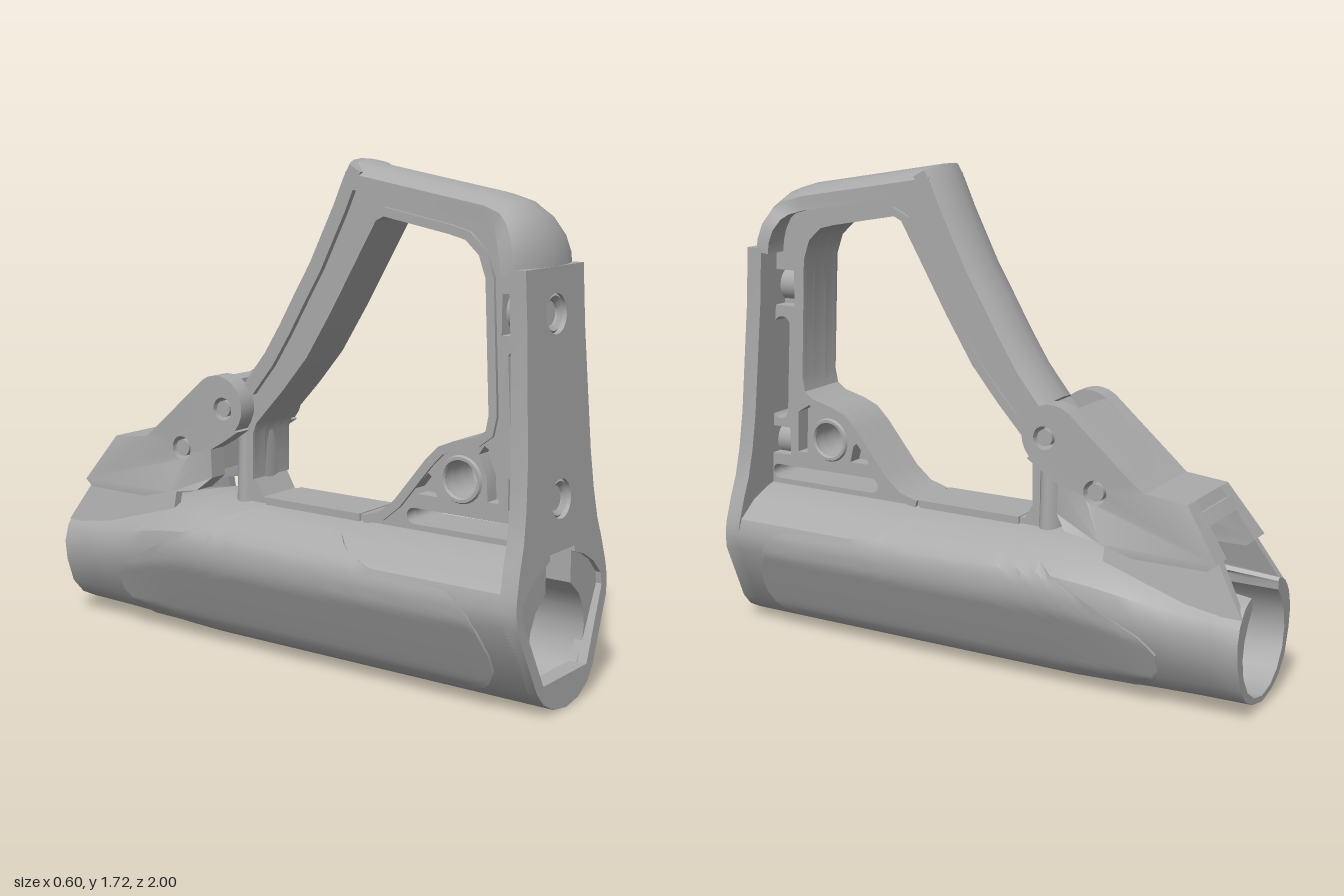
import * as THREE from 'three';
import { mergeGeometries, toCreasedNormals } from 'three/addons/utils/BufferGeometryUtils.js';

const grey = new THREE.MeshStandardMaterial({ color: 0xaaaaaa, side: THREE.DoubleSide });
grey.name = 'grey polymer';

const vec = (list) => list.map(([a, b]) => new THREE.Vector2(a, b));
const lerp = THREE.MathUtils.lerp;

// Piecewise linear lookup in a table of [key, value] with rising keys
function lookup(table, k) {
  for (let i = 1; i < table.length; i++) {
    const [a, u] = table[i - 1], [b, v] = table[i];
    if (k <= b) return lerp(u, v, THREE.MathUtils.clamp((k - a) / (b - a), 0, 1));
  }
  return table[table.length - 1][1];
}

// Joins 2D profiles placed in space by place(i, point); faces are turned outward
function loft(profiles, place, { closed = true, caps = true } = {}) {
  const n = profiles[0].length, pos = [], index = [];
  profiles.forEach((pr, i) => pr.forEach((p) => pos.push(...place(i, p))));
  for (let i = 0; i < profiles.length - 1; i++) {
    for (let j = 0; j < (closed ? n : n - 1); j++) {
      const a = i * n + j, b = i * n + (j + 1) % n;
      index.push(a, b, b + n, a, b + n, a + n);
    }
  }
  if (caps) {
    const last = profiles.length - 1;
    const ccw = THREE.ShapeUtils.isClockWise(vec(profiles[0])) ? -1 : 1;
    for (const e of [0, last]) {
      for (const f of THREE.ShapeUtils.triangulateShape(vec(profiles[e]), [])) {
        const t = f.map((k) => k + e * n);
        const p = f.map((k) => profiles[e][k]);
        const area = (p[1][0] - p[0][0]) * (p[2][1] - p[0][1]) - (p[1][1] - p[0][1]) * (p[2][0] - p[0][0]);
        if ((area * ccw > 0) === (e === 0)) t.reverse();
        index.push(...t);
      }
    }
  }
  const at = (k) => new THREE.Vector3().fromArray(pos, k * 3);
  let volume = 0;
  for (let i = 0; i < index.length; i += 3) volume += at(index[i]).dot(at(index[i + 1]).cross(at(index[i + 2])));
  if (volume < 0) index.reverse();
  const g = new THREE.BufferGeometry();
  g.setAttribute('position', new THREE.Float32BufferAttribute(pos, 3));
  g.setIndex(index);
  return g.toNonIndexed();
}

// Plate drawn in side coordinates (z, y), spanning x0 to x1
function sidePlate(outline, holes, x0, x1) {
  const s = new THREE.Shape(vec(outline));
  s.holes = holes.map((h) => new THREE.Path(vec(h)));
  return new THREE.ExtrudeGeometry(s, { depth: x1 - x0, bevelEnabled: false }).rotateY(-Math.PI / 2).translate(x1, 0, 0);
}

// Crowned strip along a side path of [z, y, halfWidth]
function strip(path, thick, crown, side) {
  const rings = path.map(([, , w]) => [
    ...[-1, -0.8, -0.5, 0, 0.5, 0.8, 1].map((k) => [k * w, crown * k * k]),
    [w, crown + thick], [-w, crown + thick]]);
  const normals = path.map((_, i) => {
    const a = path[Math.max(i - 1, 0)], b = path[Math.min(i + 1, path.length - 1)];
    const dz = b[0] - a[0], dy = b[1] - a[1], l = Math.hypot(dz, dy);
    return [-dy / l * side, dz / l * side];
  });
  return loft(rings, (i, [x, d]) => [x, path[i][1] + normals[i][1] * d, path[i][0] + normals[i][0] * d]);
}

const circle = (z, y, r, n = 28) => Array.from({ length: n }, (_, i) => {
  const a = i / n * Math.PI * 2;
  return [z + r * Math.cos(a), y + r * Math.sin(a)];
});
const rect = (z0, z1, y0, y1) => [[z0, y0], [z1, y0], [z1, y1], [z0, y1]];
// Slot with round ends between two side points
function capsule(z0, y0, z1, y1, r) {
  const base = Math.atan2(y1 - y0, z1 - z0), out = [];
  for (let i = 0; i <= 16; i++) {
    const far = i > 8, a = base + Math.PI / 2 + (far ? i - 1 : i) * Math.PI / 8 + (far ? Math.PI / 8 : 0) * (i > 8 ? 0 : 1);
    out.push([(far ? z1 : z0) + r * Math.cos(a), (far ? y1 : y0) + r * Math.sin(a)]);
  }
  return out;
}

// Half sections of the barrel: outside from bottom to top, then the bore back down
const bore = [[0.14, 0.335], [0.17, 0.28], [0.18, 0.22], [0.168, 0.155], [0.127, 0.093], [0.07, 0.054], [0, 0.04]];
const outer = [[0, 0], [0.08, 0.013], [0.14, 0.045], [0.18, 0.09], [0.285, 0.31], [0.29, 0.37], [0.275, 0.42], [0.2, 0.48], [0.11, 0.515], [0, 0.535]];
const outerRear = [[0, 0.02], [0.08, 0.035], [0.14, 0.065], [0.19, 0.12], [0.22, 0.21], [0.228, 0.28], [0.21, 0.34], [0.175, 0.385], [0.15, 0.4], [0.12, 0.41]];
const mainSection = [...outer, [0, 0.505], [0.08, 0.505], [0.08, 0.385], ...bore];
const rearSection = [...outerRear, [0.11, 0.4], [0.11, 0.385], [0.112, 0.37], ...bore];
const blend = [[-1, 1], [-0.8, 0.85], [-0.65, 0.6], [-0.5, 0.22], [-0.36, 0]];
const mix = (a, b, t) => a.map((p, i) => [lerp(p[0], b[i][0], t), lerp(p[1], b[i][1], t)]);

export function createModel() {
  const group = new THREE.Group();
  const add = (name, geometry, crease = 0.5) => {
    const m = new THREE.Mesh(toCreasedNormals(geometry, crease), grey);
    m.name = name;
    group.add(m);
    return m;
  };

  // Hollow barrel, opening along its top at the rear
  const zs = [-1, -0.9, -0.8, -0.72, -0.65, -0.57, -0.5, -0.43, -0.36, 0.3, 0.96];
  const sections = zs.map((z) => mix(mainSection, rearSection, lookup(blend, z)));
  add('barrel', mergeGeometries([1, -1].map((s) => loft(sections, (i, [x, y]) => [s * x, y, zs[i]]))));

  // Raised side grip panels following the barrel surface
  const panelTop = [[-0.72, 0.2], [-0.68, 0.25], [-0.55, 0.32], [-0.3, 0.45], [-0.15, 0.505], [0.25, 0.49], [0.3, 0.455], [0.42, 0.42], [0.74, 0.395], [0.82, 0.32], [0.855, 0.2]];
  const panelLow = [[-0.72, 0.14], [-0.69, 0.09], [-0.62, 0.06], [0.75, 0.06], [0.82, 0.085], [0.855, 0.14]];
  const cols = Array.from({ length: 64 }, (_, i) => -0.72 + 1.575 * THREE.MathUtils.clamp((i - 1) / 61, 0, 1));
  const rows = Array.from({ length: 19 }, (_, j) => THREE.MathUtils.clamp((j - 1) / 16, 0, 1));
  const panelRings = cols.map((z, i) => {
    const half = mix(outer, outerRear, lookup(blend, z)).map(([x, y]) => [y, x]);
    return rows.map((v, j) => {
      const y = lerp(lookup(panelLow, z), lookup(panelTop, z), v), x = lookup(half, y);
      const rim = i === 0 || i === cols.length - 1 || j === 0 || j === rows.length - 1;
      const d = (rim ? -0.01 : 0.01) / Math.hypot(x, y - 0.25);
      return [x + x * d, y + (y - 0.25) * d];
    });
  });
  for (const s of [1, -1]) {
    add(s > 0 ? 'leftGripPanel' : 'rightGripPanel',
      loft(panelRings, (i, [x, y]) => [s * x, y, cols[i]], { closed: false, caps: false }), 0.6);
  }

  // Leaning front plate with barrel mouth and two screw holes
  const half = [...outer.slice(0, 6), [0.285, 0.41], [0.26, 0.5], [0.235, 0.57], [0.215, 0.67], [0.2, 0.8], [0.19, 1], [0.18, 1.2], [0.18, 1.4]];
  const mirror = (h) => [...h, ...h.slice().reverse().map(([x, y]) => [-x, y])];
  const face = new THREE.Shape(vec(mirror(half)));
  const mouth = [[0.14, 0.105], [0.255, 0.345], [0.25, 0.385], [0.2, 0.435], [0.14, 0.47], [0.08, 0.49], [0.08, 0.51]];
  const screwHeights = [0.675, 1.255];
  face.holes = [mirror(mouth), ...screwHeights.map((y) => circle(0, y, 0.064))].map((h) => new THREE.Path(vec(h)));
  const plate = new THREE.ExtrudeGeometry(face, { depth: 0.06, bevelEnabled: false }).translate(0, 0, -0.06);
  const pp = plate.attributes.position;
  for (let i = 0; i < pp.count; i++) pp.setZ(i, pp.getZ(i) + 1 - 0.055 * pp.getY(i));
  add('frontPlate', plate);

  // Screw bosses behind the front plate
  for (const y of screwHeights) {
    const ring = new THREE.LatheGeometry(vec([[0.04, 0], [0.064, 0], [0.064, 0.135], [0.055, 0.142], [0.04, 0.13], [0.04, 0]]), 28);
    add('screwBoss', ring.rotateX(Math.PI / 2).translate(0, y, 0.85 - 0.055 * y));
    add('screw', new THREE.CylinderGeometry(0.04, 0.04, 0.08, 24).rotateX(Math.PI / 2).translate(0, y, 0.9 - 0.055 * y));
  }

  // Handle web with the large opening, slots and shallow recesses
  const opening = [[0.27, 0.54], [0.34, 0.56], [0.4, 0.61], [0.52, 0.76], [0.57, 0.81], [0.63, 0.835], [0.71, 0.855], [0.745, 0.88], [0.755, 0.93], [0.735, 1.36], [0.71, 1.43], [0.66, 1.475], [0.6, 1.49], [0.35, 1.535], [0.32, 1.52], [0.14, 1.21], [0.04, 1.05], [-0.06, 0.93], [-0.18, 0.8], [-0.195, 0.76], [-0.195, 0.6], [-0.16, 0.54]];
  const webOutline = [[-0.27, 0.5], [0.95, 0.5], [0.895, 1.38], [0.87, 1.47], [0.82, 1.55], [0.74, 1.59], [0.21, 1.675], [0.19, 1.66], [0.13, 1.5], [0.03, 1.3], [-0.07, 1.13], [-0.22, 0.95], [-0.27, 0.9]];
  const through = [opening, capsule(0.868, 0.8, 0.848, 1.11, 0.035), capsule(0.47, 0.565, 0.88, 0.565, 0.027), circle(0.65, 0.71, 0.065)];
  const recesses = [rect(0.79, 0.885, 1.185, 1.315), rect(0.825, 0.92, 0.632, 0.735),
    [[0.79, 0.65], [0.75, 0.65], [0.745, 0.73], [0.715, 0.8], [0.735, 0.83], [0.785, 0.8]],
    [[0.56, 0.64], [0.485, 0.64], [0.475, 0.66], [0.525, 0.715], [0.545, 0.7]]];
  add('handleWeb', sidePlate(webOutline, through, -0.035, 0.035));
  for (const s of [1, -1]) {
    add('handleSkin', sidePlate(webOutline, [...through, ...recesses], ...(s > 0 ? [0.035, 0.09] : [-0.09, -0.035])));
  }
  add('pivotRings', mergeGeometries([1, -1].map((s) =>
    new THREE.TorusGeometry(0.07, 0.01, 6, 28).rotateY(Math.PI / 2).translate(0.09 * s, 0.71, 0.65))));

  // Rounded outer strip over the handle and rim around its opening
  add('handleTop', strip([[0.923, 1.39, 0.18], [0.918, 1.44, 0.178], [0.9, 1.5, 0.17], [0.865, 1.56, 0.15], [0.815, 1.6, 0.13], [0.74, 1.623, 0.113], [0.5, 1.663, 0.11], [0.21, 1.712, 0.11]], 0.05, 0.04, 1));
  add('handleRear', strip([[0.19, 1.715, 0.11], [0.165, 1.67, 0.11], [0.125, 1.58, 0.11], [0.08, 1.49, 0.11], [0.03, 1.39, 0.11], [-0.03, 1.29, 0.11], [-0.1, 1.17, 0.11], [-0.17, 1.06, 0.11], [-0.255, 0.955, 0.11]], 0.05, 0.035, 1));
  add('openingRim', strip(opening.slice(0, -1).map(([z, y]) => [z, y, 0.102]), 0.03, 0, -1));
  add('topRail', new THREE.BoxGeometry(0.2, 0.03, 0.4).translate(0, 0.528, 0.06));
  add('slotPost', new THREE.BoxGeometry(0.12, 0.1, 0.12).translate(0, 0.46, 0.55));
  add('rearPost', new THREE.CylinderGeometry(0.1, 0.11, 0.28, 28).scale(1, 1, 0.5).translate(0, 0.65, -0.245));

  // Latch housing: flared cheeks, bridging cover and pins
  const lobe = Array.from({ length: 12 }, (_, i) => {
    const a = 0.93 + i * 0.27;
    return [-0.3 - 0.11 * Math.cos(a), 0.855 + 0.11 * Math.sin(a)];
  });
  const cheek = [[-0.79, 0.695], [-0.64, 0.71], [-0.6, 0.74], ...lobe, [-0.21, 0.775], [-0.27, 0.735], [-0.33, 0.7], [-0.325, 0.6], [-0.37, 0.555], [-0.5, 0.53], [-0.62, 0.5], [-0.88, 0.5], [-0.91, 0.525]];
  const pins = [[-0.275, 0.85, 0.04], [-0.465, 0.69, 0.042]];
  for (const s of [1, -1]) {
    const g = sidePlate(cheek, pins.map((p) => circle(...p)), ...(s > 0 ? [0.1, 0.17] : [-0.17, -0.1]));
    const p = g.attributes.position;
    for (let i = 0; i < p.count; i++) {
      const flare = p.getY(i) < 0.57 ? 1.18 : p.getZ(i) < -0.62 ? 0.95 : 1;
      p.setX(i, p.getX(i) * flare);
    }
    add(s > 0 ? 'leftLatchCheek' : 'rightLatchCheek', g);
  }
  add('latchCover', sidePlate([[-0.33, 0.93], [-0.33, 0.62], [-0.6, 0.64], [-0.815, 0.65], [-0.79, 0.695], [-0.64, 0.71], [-0.6, 0.74], [-0.365, 0.942]], [], -0.11, 0.11));
  for (const [z, y, r] of pins) {
    add('latchPin', new THREE.CylinderGeometry(r * 0.7, r * 0.7, 0.33, 20).rotateZ(Math.PI / 2).translate(0, y, z));
  }

  // Trapezoid neck joining the latch to the open barrel, cut at a slant
  const arch = new THREE.Shape(vec([[-0.2, 0.36], [-0.17, 0.36], [-0.105, 0.62], [0.105, 0.62], [0.17, 0.36], [0.2, 0.36], [0.13, 0.66], [-0.13, 0.66]]));
  const neck = new THREE.ExtrudeGeometry(arch, { depth: 0.3, bevelEnabled: false });
  const np = neck.attributes.position;
  for (let i = 0; i < np.count; i++) np.setZ(i, np.getZ(i) > 0.1 ? -0.5 : Math.max(-1, -0.79 - (0.695 - np.getY(i)) * 0.74));
  neck.computeVertexNormals();
  add('rearNeck', neck);

  return group;
}
